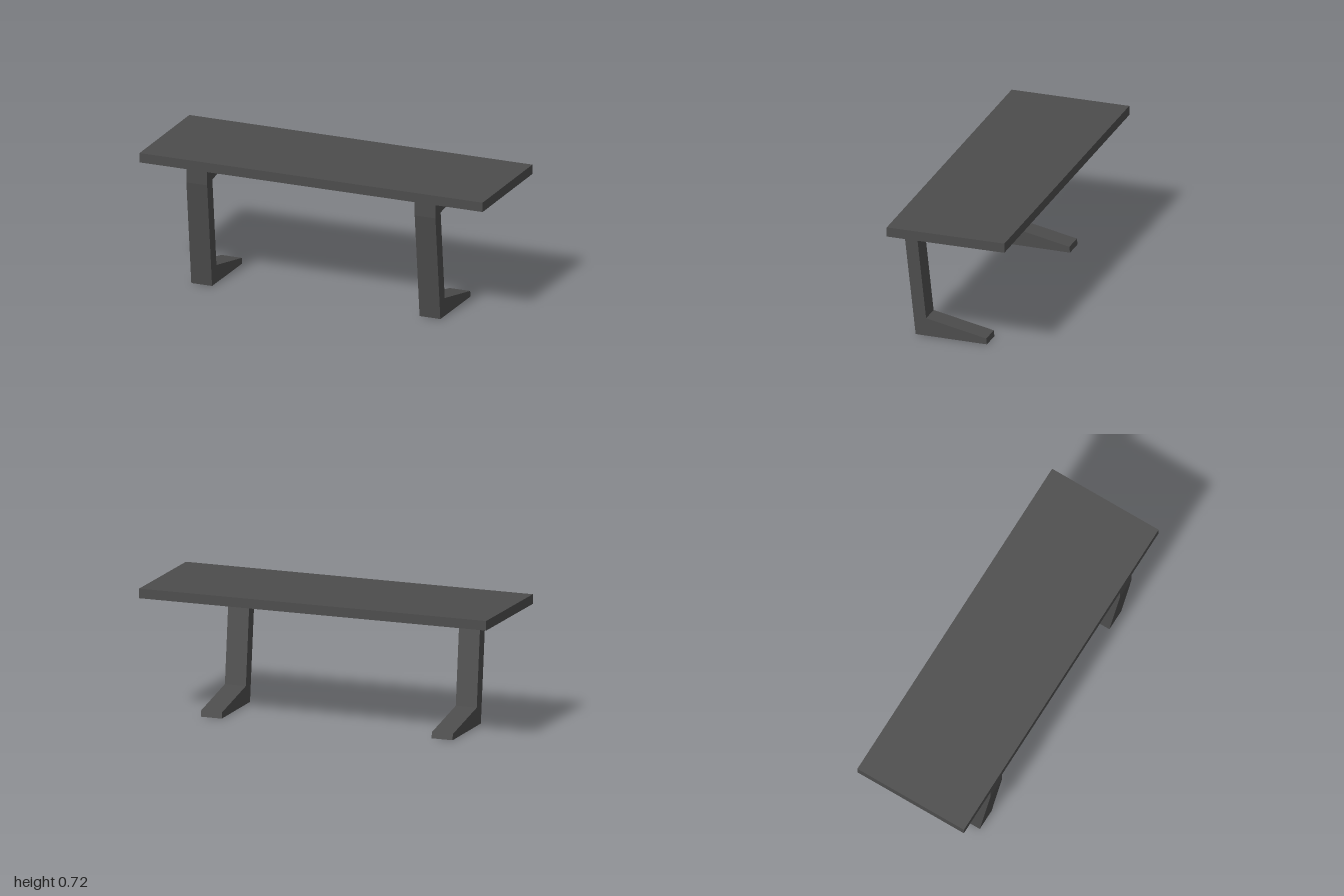
import * as THREE from 'three';

export function createModel() {
  const model = new THREE.Group();
  model.name = 'table';

  const charcoal = new THREE.MeshStandardMaterial({ color: 0x4c4c4c });
  charcoal.name = 'charcoal';

  // Flat rectangular top
  const topThickness = 0.053;
  const topUnderside = 0.67;
  const tableTop = new THREE.Mesh(new THREE.BoxGeometry(2, topThickness, 0.667), charcoal);
  tableTop.name = 'tableTop';
  tableTop.position.y = topUnderside + topThickness / 2;
  model.add(tableTop);

  // C-shaped leg profile as (z, y): foot, leaning post and tapered top bracket
  const profile = [
    [0.267, 0.003], [-0.137, 0], [-0.133, 0.033], [0.208, 0.103],
    [0.263, 0.606], [-0.142, 0.663], [-0.142, topUnderside],
    [0.333, topUnderside], [0.333, 0.595],
  ].map(([z, y]) => new THREE.Vector2(z, y));

  const legWidth = 0.121;
  const legGeometry = new THREE.ExtrudeGeometry(new THREE.Shape(profile), {
    depth: legWidth, bevelEnabled: false,
  });
  legGeometry.translate(0, 0, -legWidth / 2);
  legGeometry.rotateY(-Math.PI / 2); // profile into the z-y plane, width along x

  // One leg on each side
  for (const [name, x] of [['leftLeg', 0.664], ['rightLeg', -0.667]]) {
    const leg = new THREE.Mesh(legGeometry, charcoal);
    leg.name = name;
    leg.position.x = x;
    model.add(leg);
  }

  return model;
}
